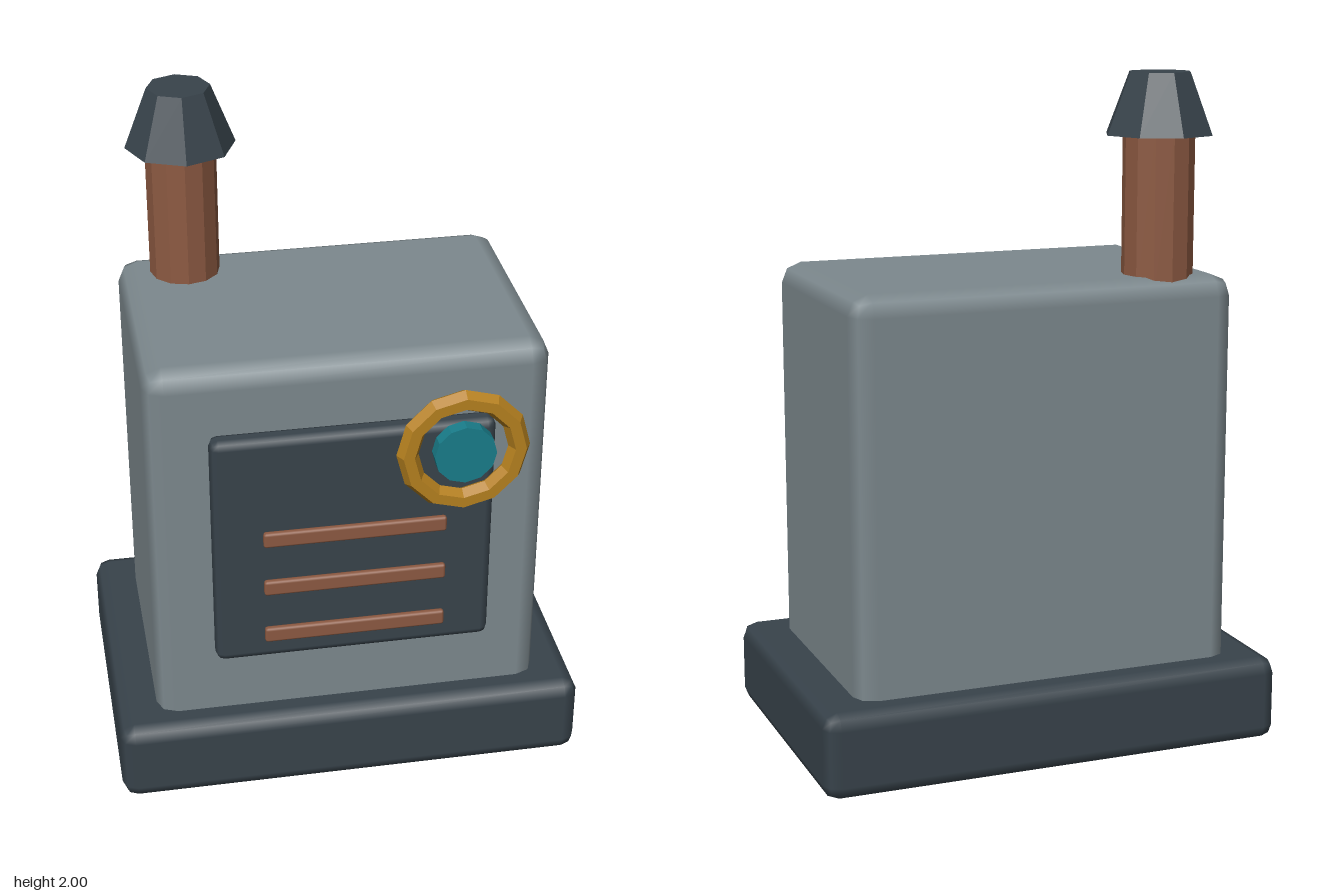
import * as THREE from 'three';
import { RoundedBoxGeometry } from 'three/addons/geometries/RoundedBoxGeometry.js';

const material = (color, flatShading = false) => new THREE.MeshStandardMaterial({ color, flatShading });

export function createModel() {
  const model = new THREE.Group();
  model.name = 'furnace';

  const steel = material(0x7d898e);
  const iron = material(0x38434b);
  const ironFlat = material(0x38434b, true);
  const copper = material(0x8d5a42);
  const copperFlat = material(0x8d5a42, true);
  const brass = material(0xb5801f, true);
  const glass = material(0x197d8a, true);

  const add = (name, geometry, mat, x, y, z, parent = model) => {
    const mesh = new THREE.Mesh(geometry, mat);
    mesh.name = name;
    mesh.position.set(x, y, z);
    parent.add(mesh);
    return mesh;
  };
  // Box with a two-facet bevel on every edge
  const bevelBox = (w, h, d, r) => new RoundedBoxGeometry(w, h, d, 1, r);

  // Plinth, casing and front door
  add('base', bevelBox(1.416, 0.256, 0.96, 0.045), iron, 0, 0.128, -0.02);
  add('body', bevelBox(1.17, 1.23, 0.785, 0.06), steel, 0, 0.8, -0.018);
  add('frontPanel', bevelBox(0.82, 0.75, 0.07, 0.025), iron, 0, 0.85, 0.409);

  // Vent bars on the door
  for (let i = 0; i < 3; i++) {
    add('ventBar' + (i + 1), bevelBox(0.535, 0.048, 0.022, 0.008), copper, 0, 0.572 + i * 0.166, 0.458);
  }

  // Round gauge: brass rim and glass disc
  const gauge = new THREE.Group();
  gauge.name = 'gauge';
  gauge.position.set(0.307, 1.152, 0.467);
  model.add(gauge);
  add('gaugeRim', new THREE.TorusGeometry(0.162, 0.032, 6, 12), brass, 0, 0, 0, gauge);
  const disc = add('gaugeGlass', new THREE.CylinderGeometry(0.09, 0.09, 0.04, 12), glass, 0, 0, 0.013, gauge);
  disc.rotation.x = Math.PI / 2;

  // Chimney pipe and tapered cap
  const chimney = new THREE.Group();
  chimney.name = 'chimney';
  chimney.position.set(-0.388, 0, -0.278);
  model.add(chimney);
  add('pipe', new THREE.CylinderGeometry(0.105, 0.105, 0.5, 12), copperFlat, 0, 1.6, 0, chimney);
  add('chimneyCap', new THREE.CylinderGeometry(0.093, 0.163, 0.18, 8), ironFlat, 0, 1.91, 0, chimney);

  return model;
}
